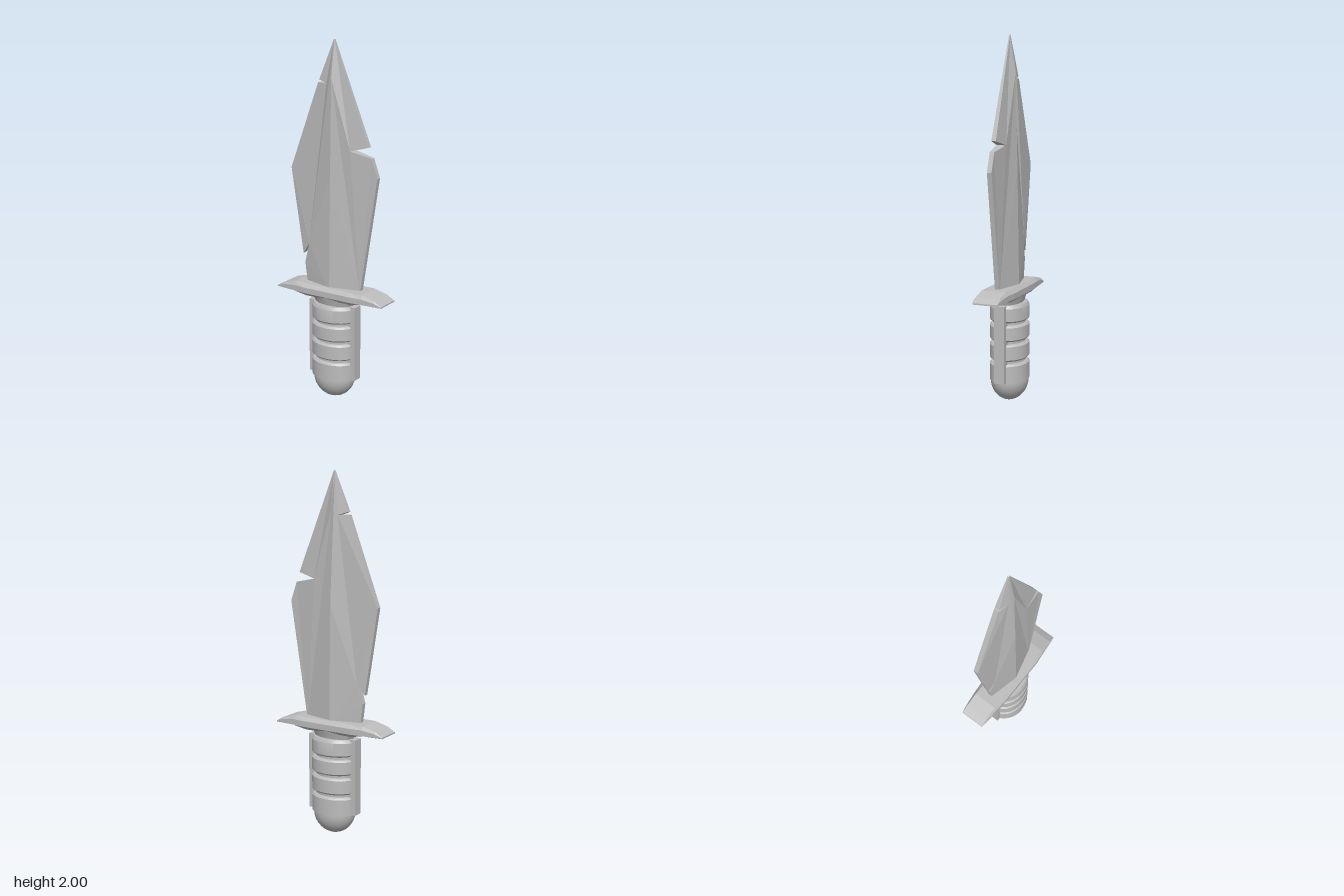
import * as THREE from 'three';
import { toCreasedNormals } from 'three/addons/utils/BufferGeometryUtils.js';

const lerp = THREE.MathUtils.lerp;

// Piecewise linear lookup in a list of [y, value]
function sample(table, y) {
  for (let i = 1; i < table.length; i++) {
    const [y0, v0] = table[i - 1], [y1, v1] = table[i];
    if (y <= y1) return lerp(v0, v1, (y - y0) / (y1 - y0));
  }
  return table[table.length - 1][1];
}

function geometryFrom(positions) {
  const g = new THREE.BufferGeometry();
  g.setAttribute('position', new THREE.Float32BufferAttribute(positions, 3));
  g.computeVertexNormals();
  return g;
}

// Blade: nicked outline on each side, thick at the central ridge and thin at the edge
function bladeGeometry() {
  const ridge = [[0.63, 0.055], [1.29, 0.045], [1.42, 0.042], [1.8, 0.034], [2, 0.003]];
  const width = [[0.63, 0.172], [1.29, 0.277], [2, 0.002]];
  const thickness = ([x, y]) => {
    const r = sample(ridge, y);
    return lerp(r, Math.min(0.013, r), Math.min(1, Math.abs(x) / sample(width, y)));
  };
  const sides = {
    '1': [[0.172, 0.63], [0.277, 1.29], [0.24, 1.395], [0.115, 1.422], [0.22, 1.45], [0.003, 2]],
    '-1': [[-0.172, 0.63], [-0.188, 0.76], [-0.155, 0.87], [-0.2, 0.81], [-0.277, 1.29],
      [-0.097, 1.77], [-0.035, 1.768], [-0.09, 1.785], [-0.003, 2]],
  };
  const out = [];
  const tri = (a, b, c) => out.push(...a, ...b, ...c);
  const at = (p, side) => [p[0], p[1], side * thickness(p)];
  for (const s of [1, -1]) {
    const edge = sides[s];
    const spine = [2, 1.8, 1.42, 1.29, 0.87, 0.63].map((y) => [0, y]);
    const loop = [...edge, ...spine];
    const contour = loop.map((p) => new THREE.Vector2(...p));
    for (const face of THREE.ShapeUtils.triangulateShape(contour, [])) {
      let [a, b, c] = face.map((i) => loop[i]);
      const area = (b[0] - a[0]) * (c[1] - a[1]) - (c[0] - a[0]) * (b[1] - a[1]);
      if (area < 0) [b, c] = [c, b];
      tri(at(a, 1), at(b, 1), at(c, 1));
      tri(at(a, -1), at(c, -1), at(b, -1));
    }
    // Narrow faces along the cutting edge
    for (let i = 0; i < edge.length - 1; i++) {
      const [p, q] = s > 0 ? [edge[i], edge[i + 1]] : [edge[i + 1], edge[i]];
      tri(at(p, 1), at(p, -1), at(q, -1));
      tri(at(p, 1), at(q, -1), at(q, 1));
    }
  }
  return geometryFrom(out);
}

// Guard: bevelled cross-sections lofted along x
function guardGeometry() {
  // [x, top, upper edge, lower edge, bottom, z of top, z of middle]
  const half = [
    [0.15, 0.655, 0.635, 0.603, 0.585, 0.068, 0.088],
    [0.22, 0.655, 0.635, 0.604, 0.6, 0.068, 0.082],
    [0.3, 0.634, 0.624, 0.604, 0.601, 0.068, 0.075],
    [0.342, 0.61, 0.608, 0.604, 0.602, 0.067, 0.07],
  ];
  const stations = [...half.map(([x, ...r]) => [-x, ...r]).reverse(), ...half];
  const rings = stations.map(([x, t, u, l, b, zt, zm]) => [
    [x, t, zt], [x, u, zm], [x, l, zm], [x, b, zt],
    [x, b, -zt], [x, l, -zm], [x, u, -zm], [x, t, -zt],
  ]);
  const out = [];
  const tri = (a, b, c) => out.push(...a, ...b, ...c);
  for (let i = 0; i < rings.length - 1; i++) {
    for (let j = 0; j < 8; j++) {
      const k = (j + 1) % 8;
      tri(rings[i][j], rings[i][k], rings[i + 1][k]);
      tri(rings[i][j], rings[i + 1][k], rings[i + 1][j]);
    }
  }
  const first = rings[0], last = rings[rings.length - 1];
  for (let j = 1; j < 7; j++) {
    tri(last[0], last[j], last[j + 1]);
    tri(first[0], first[j + 1], first[j]);
  }
  return geometryFrom(out);
}

// Grip: oval lathe with three grooves
function gripGeometry() {
  const r = 0.105, points = [[0, 0.125], [r, 0.125]];
  for (const y of [0.235, 0.345, 0.45]) {
    points.push([r, y - 0.018], [0.097, y - 0.009], [0.085, y - 0.007],
      [0.085, y + 0.007], [0.097, y + 0.009], [r, y + 0.018]);
  }
  points.push([r, 0.538], [0.096, 0.555], [0, 0.555]);
  const g = new THREE.LatheGeometry(points.map((p) => new THREE.Vector2(...p)), 32);
  g.scale(1.28, 1, 1);
  return toCreasedNormals(g, 0.5);
}

export function createModel() {
  const model = new THREE.Group();
  model.name = 'dagger';
  const grey = new THREE.MeshStandardMaterial({ color: 0xbcbcbc });
  grey.name = 'grey';
  const add = (name, geometry, x = 0, y = 0, z = 0) => {
    const mesh = new THREE.Mesh(geometry, grey);
    mesh.name = name;
    mesh.position.set(x, y, z);
    model.add(mesh);
    return mesh;
  };

  add('blade', bladeGeometry());
  add('guard', guardGeometry());

  // Collar flaring up from the grip into the guard
  const collar = new THREE.CylinderGeometry(0.085, 0.07, 0.055, 12);
  collar.scale(1.65, 1, 1);
  add('collar', toCreasedNormals(collar, 0.4), 0, 0.572, 0);

  add('grip', gripGeometry());

  // Flat strips down both sides of the grip
  for (const s of [1, -1]) {
    add(s > 0 ? 'leftGripStrip' : 'rightGripStrip',
      new THREE.BoxGeometry(0.05, 0.43, 0.06), s * 0.126, 0.34, 0);
  }

  // Rounded pommel
  const pommel = new THREE.SphereGeometry(1, 28, 10, 0, Math.PI * 2, Math.PI / 2, Math.PI / 2);
  pommel.scale(0.122, 0.125, 0.104);
  add('pommel', pommel, 0, 0.125, 0);

  return model;
}
